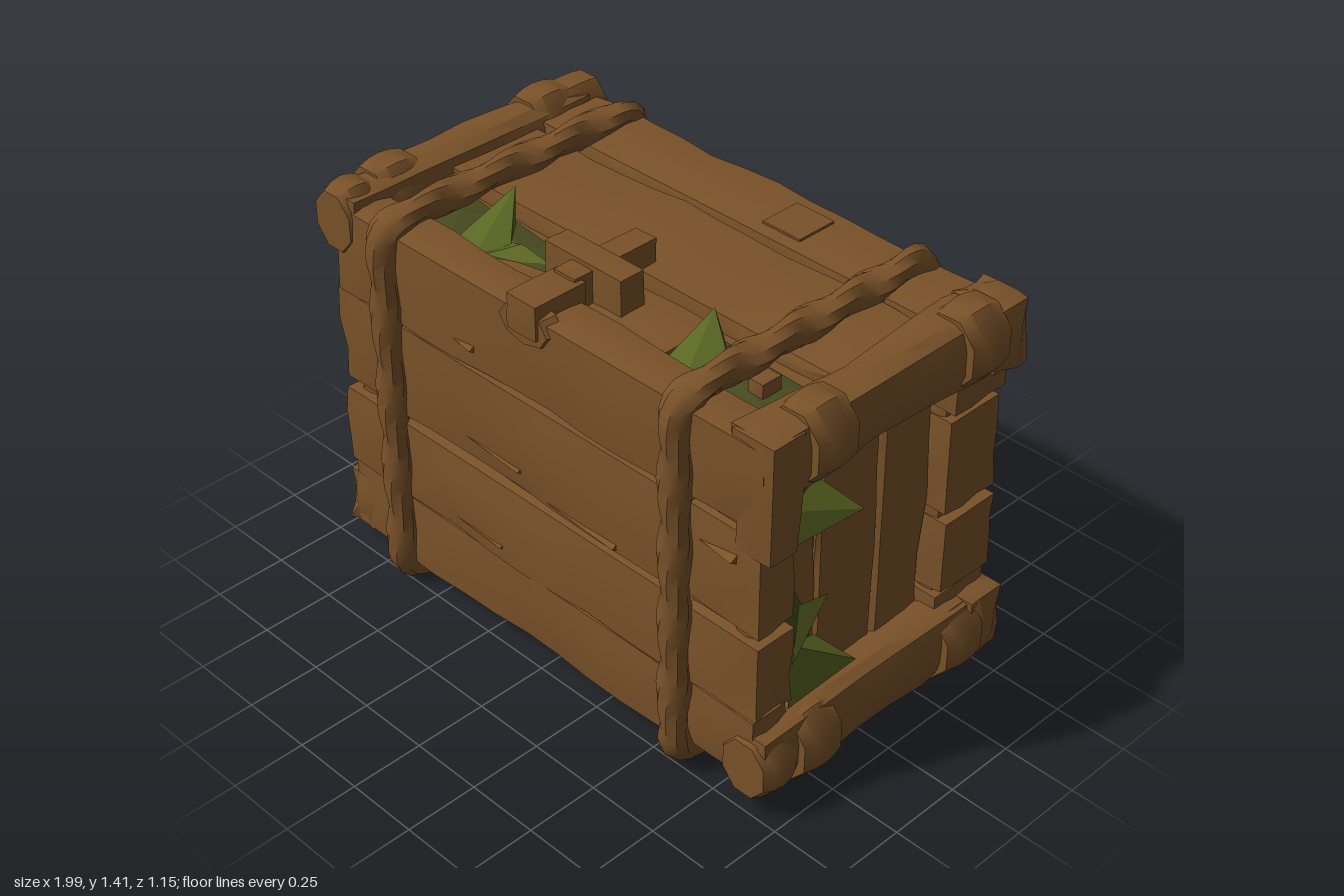
import * as THREE from 'three';
import { toCreasedNormals } from 'three/addons/utils/BufferGeometryUtils.js';

const wood = new THREE.MeshStandardMaterial({ color: 0x7a5229 });
wood.name = 'brown wood';
const green = new THREE.MeshStandardMaterial({ color: 0x5a6623, side: THREE.DoubleSide });
green.name = 'leaf green';
const olive = new THREE.MeshStandardMaterial({ color: 0x474a20, side: THREE.DoubleSide });
olive.name = 'dark olive';

// repeatable pseudo-random value for a position
const hash = (x, y, z) => {
  const s = Math.sin(x * 127.1 + y * 311.7 + z * 74.7) * 43758.5453;
  return s - Math.floor(s);
};

export function createModel() {
  const root = new THREE.Group();
  root.name = 'woodenCrate';

  const add = (name, geo, mat = wood) => {
    const m = new THREE.Mesh(geo, mat);
    m.name = name;
    root.add(m);
    return m;
  };

  // rough hewn timber between two corners: worn edges and a gentle wobble
  const plank = (name, [x0, x1], [y0, y1], [z0, z1], bevel = 0.012, wobble = 0.007) => {
    const size = [x1 - x0, y1 - y0, z1 - z0];
    const mid = [(x0 + x1) / 2, (y0 + y1) / 2, (z0 + z1) / 2];
    const seg = size.map(s => Math.max(3, Math.round(s / 0.14)));
    const g = new THREE.BoxGeometry(...size, ...seg);
    const p = g.attributes.position;
    for (let i = 0; i < p.count; i++) {
      const v = [p.getX(i), p.getY(i), p.getZ(i)];
      const ext = v.map((c, k) => Math.abs(Math.abs(c) - size[k] / 2) < 1e-5);
      const w = v.map((c, k) => Math.round((c + mid[k]) * 1000) / 1000);
      const r = 0.4 + 0.6 * hash(...w);
      const onEdge = ext.filter(Boolean).length > 1;
      const wave = Math.sin(w[0] * 5 + w[1] * 9 + mid[1] * 4) * Math.cos(w[2] * 7 + w[0] * 3);
      const out = v.map((c, k) => {
        if (!ext[k]) return c + mid[k];
        return mid[k] + c - Math.sign(c) * ((onEdge ? bevel * r : 0) - wobble * wave);
      });
      p.setXYZ(i, ...out);
    }
    return add(name, toCreasedNormals(g, 0.5));
  };

  // solid inside and floor
  plank('innerCore', [-0.79, 0.79], [0.14, 1.22], [-0.49, 0.465], 0, 0);
  for (let i = 0; i < 4; i++) {
    const z = -0.5 + i * 0.25;
    plank('floorPlank', [-0.84, 0.84], [0.095, 0.2], [z, z + 0.24]);
  }

  // front and back walls: long boards with separate end blocks
  const rows = [[0.09, 0.36], [0.355, 0.65], [0.665, 1.015], [1.015, 1.328]];
  const reach = [0.9, 0.92, 0.91, 0.92];
  rows.forEach((y, i) => {
    plank('frontPlank', [-0.64, 0.64], y, [0.35, 0.508], 0.01, 0.009);
    plank('backPlank', [-0.64, 0.64], y, [-0.528, -0.38], 0.01, 0.009);
    for (const s of [-1, 1]) {
      const x = s > 0 ? [0.6, reach[i]] : [-reach[3 - i] + 0.01, -0.6];
      const yy = [y[0] + 0.006 * s, y[1] - 0.004];
      plank('frontEndBlock', x, yy, [0.345, 0.497 + 0.01 * (i % 2)]);
      plank('backEndBlock', x, yy, [-0.532 - 0.012 * (i % 2), -0.3]);
    }
  });

  // lid boards
  plank('lidBackPlank', [-0.82, 0.82], [1.2, 1.335], [-0.528, -0.275], 0.012);
  plank('lidMiddlePlank', [-0.82, 0.82], [1.2, 1.325], [-0.268, 0.108], 0.012);
  plank('lidSunkenPlank', [-0.82, 0.82], [1.16, 1.265], [0.09, 0.36], 0, 0);
  plank('lidSunkenBoard', [-0.17, 0.37], [1.2, 1.295], [0.115, 0.335], 0.012, 0.002);
  plank('lidChip', [0.64, 0.7], [1.25, 1.325], [0.2, 0.28], 0.004, 0);
  plank('lidPatch', [0.13, 0.28], [1.337, 1.345], [-0.47, -0.32], 0, 0);

  // sides: upright recessed boards, worn rails, swollen collars
  const sides = [-1, 1];
  // short eight-sided drum lying along z, fuller in the middle
  const drum = (name, x, y, z, r, length, bulge) => {
    const c = new THREE.CylinderGeometry(r, r, length, 8, 4).rotateY(Math.PI / 8);
    const p = c.attributes.position;
    for (let i = 0; i < p.count; i++) {
      const t = p.getY(i) / (length / 2);
      const k = 1 + bulge * (0.5 - t * t);
      p.setXYZ(i, p.getX(i) * k * 0.88, p.getY(i), p.getZ(i) * k * 1.04);
    }
    c.rotateX(Math.PI / 2);
    add(name, toCreasedNormals(c, 0.85)).position.set(x, y, z);
  };
  for (const s of sides) {
    const span = (a, b) => (s > 0 ? [a, b] : [-b, -a]);
    plank('sideBoard', span(0.74, 0.825), [0.2, 1.2], [-0.1, 0.15]);
    plank('sideBoard', span(0.74, 0.835), [0.2, 1.2], [-0.31, -0.102]);
    plank('sideBoard', span(0.74, 0.81), [0.2, 1.2], [0.145, 0.36]);
    plank('frontCornerPost', span(0.78, 0.875), [0.2, 1.2], [0.36, 0.475]);
    plank('backCornerPost', span(0.78, 0.875), [0.2, 1.2], [-0.51, -0.315]);
    for (const [y0, y1] of [[1.135, 1.362], [0.07, 0.305]]) {
      const top = y0 > 1;
      const y = (y0 + y1) / 2 + (top ? 0.012 : -0.01);
      plank('sideRail', span(0.782, 0.953), [y0, y1], [-0.5, 0.5], 0.022);
      if (s > 0) plank('railEndBlock', [0.775, 0.968], [y0 - 0.005, y1 + 0.005], [-0.56, -0.4], 0.022);
      else drum('railBackEnd', -0.877, y, -0.475, 0.116, 0.165, 0.06);
      drum('railCollar', s * 0.885, y, -0.36, 0.125, 0.165, 0.12);
      drum('railCollar', s * 0.885, y, 0.28, 0.125, 0.16, 0.12);
      if (top === s < 0) drum('railFrontEnd', s * 0.877, y, 0.44, 0.11, 0.14, 0.2);
    }
  }
  plank('uprightCornerBoard', [0.8, 0.95], [0.93, 1.35], [0.372, 0.502], 0.008);

  // twisted ropes looped around the whole crate
  const ropePath = (y0, y1, z, r) => {
    const arcs = [[-z + r, y0 + r, 2], [-z + r, y1 - r, 1], [z - r, y1 - r, 0], [z - r, y0 + r, 3]];
    const bends = arcs.map(([cz, cy, quarter]) => [3, 2, 1, 0].map(i => {
      const a = (quarter + i / 3) * Math.PI / 2;
      return new THREE.Vector3(0, cy + r * Math.sin(a), cz + r * Math.cos(a));
    }));
    const pts = bends.flatMap((bend, c) => {
      const next = bends[(c + 1) % 4][0];
      return [...bend, ...[1, 2, 3, 4].map(i => bend[3].clone().lerp(next, i / 5))];
    });
    return new THREE.CatmullRomCurve3(pts, true);
  };
  const ropeGeometry = (turns) => {
    const curve = ropePath(0.06, 1.352, 0.518, 0.07);
    const n = 160, m = 10;
    const g = new THREE.TubeGeometry(curve, n, 0.05, m, true);
    const p = g.attributes.position;
    const v = new THREE.Vector3();
    for (let i = 0; i <= n; i++) {
      const c = curve.getPointAt((i % n) / n);
      for (let j = 0; j <= m; j++) {
        const k = i * (m + 1) + j;
        const a = (j / m - (i / n) * turns) * Math.PI * 2;
        v.fromBufferAttribute(p, k).sub(c).multiplyScalar(0.95 + 0.16 * Math.cos(2 * a)).add(c);
        p.setXYZ(k, v.x, v.y, v.z);
      }
    }
    return toCreasedNormals(g, 0.6);
  };
  add('leftOuterRope', ropeGeometry(9)).position.x = 0.605;
  add('rightOuterRope', ropeGeometry(8)).position.x = -0.63;

  // latch on the lid
  plank('latchCrossbar', [-0.165, 0.155], [1.27, 1.415], [0.195, 0.29], 0.003, 0.002);
  plank('latchBar', [-0.05, 0.04], [1.28, 1.4], [0.03, 0.36], 0.003, 0.002);
  plank('latchFrontKnob', [-0.065, 0.058], [1.27, 1.39], [0.33, 0.53], 0.005, 0.002);
  const boss = new THREE.CylinderGeometry(0.1, 0.125, 0.05, 8).rotateX(Math.PI / 2);
  boss.scale(1, 0.62, 1);
  add('latchBoss', toCreasedNormals(boss, 0.5)).position.set(-0.01, 1.295, 0.493);

  // jagged leaves: a fan from an outline to a raised tip
  const leaf = (name, mat, outline, tip) => {
    const v = [];
    outline.forEach((p, i) => v.push(...p, ...outline[(i + 1) % outline.length], ...tip));
    const g = new THREE.BufferGeometry();
    g.setAttribute('position', new THREE.Float32BufferAttribute(v, 3));
    g.computeVertexNormals();
    add(name, g, mat);
  };
  // dark foliage lying in the lid gap, with bright leaf tips standing out of it
  const onLid = (name, mat, pts, tip) => leaf(name, mat, pts.map(([x, z]) => [x, 1.272, z]), tip);
  onLid('lidFoliage', olive, [[-0.75, 0.11], [-0.52, 0.14], [-0.55, 0.33], [-0.68, 0.35], [-0.75, 0.22]], [-0.62, 1.285, 0.22]);
  onLid('lidFoliage', olive, [[-0.53, 0.12], [-0.17, 0.16], [-0.17, 0.25], [-0.3, 0.28], [-0.42, 0.34], [-0.55, 0.32]], [-0.4, 1.285, 0.22]);
  onLid('lidFoliage', olive, [[0.38, 0.14], [0.77, 0.15], [0.77, 0.33], [0.37, 0.34]], [0.58, 1.285, 0.24]);
  onLid('lidLeaf', green, [[-0.46, 0.14], [-0.36, 0.25], [-0.42, 0.34], [-0.53, 0.31]], [-0.5, 1.375, 0.1]);
  onLid('lidLeaf', green, [[-0.4, 0.23], [-0.29, 0.22], [-0.19, 0.22], [-0.28, 0.27], [-0.4, 0.32]], [-0.33, 1.3, 0.23]);
  onLid('lidLeaf', green, [[0.41, 0.13], [0.52, 0.22], [0.46, 0.33], [0.37, 0.33]], [0.38, 1.365, 0.14]);

  // dark foliage behind the corner posts, points as [x, y, z]
  leaf('sideFoliage', olive, [[0.87, 1.13, 0.35], [0.835, 1.09, 0.25], [0.835, 0.95, 0.23], [0.87, 0.93, 0.35]], [0.85, 1.03, 0.2]);
  leaf('sideFoliage', olive, [[0.87, 0.79, 0.34], [0.835, 0.68, 0.29], [0.835, 0.31, 0.19], [0.87, 0.31, 0.345]], [0.85, 0.55, 0.22]);
  leaf('sideFoliage', olive, [[-0.84, 0.7, 0.35], [-0.83, 0.66, 0.28], [-0.83, 0.36, 0.27], [-0.88, 0.34, 0.35]], [-0.95, 0.63, 0.31]);
  leaf('sideFoliage', olive, [[-0.88, 0.68, -0.305], [-0.89, 0.3, -0.305], [-0.85, 0.3, -0.2], [-0.85, 0.5, -0.23]], [-0.9, 0.44, -0.25]);
  // bright leaves pushing out over it
  leaf('sideLeaf', green, [[0.88, 1.03, 0.35], [0.87, 1.09, 0.24], [0.85, 0.96, 0.23], [0.9, 0.92, 0.35]], [0.965, 0.975, 0.14]);
  leaf('sideLeaf', green, [[0.88, 0.67, 0.3], [0.87, 0.55, 0.24], [0.9, 0.48, 0.34]], [0.91, 0.68, 0.21]);
  leaf('sideLeaf', green, [[0.89, 0.55, 0.34], [0.87, 0.51, 0.22], [0.86, 0.36, 0.2], [0.89, 0.31, 0.34]], [0.955, 0.41, 0.125]);

  // splinters lifting from the boards: [x, y, length]
  const splinters = [[-0.3, 1.09, 0.1], [-0.18, 0.75, 0.25], [0.75, 0.91, 0.14], [0.2, 0.69, 0.3], [-0.3, 0.41, 0.3]];
  for (const [x, y, len] of splinters) {
    for (const s of sides) {
      const g = new THREE.ConeGeometry(0.018, len, 3).rotateZ(Math.PI / 2);
      add('splinter', toCreasedNormals(g, 0.3)).position.set(x * s, y, s > 0 ? 0.503 : -0.523);
    }
  }
  return root;
}
